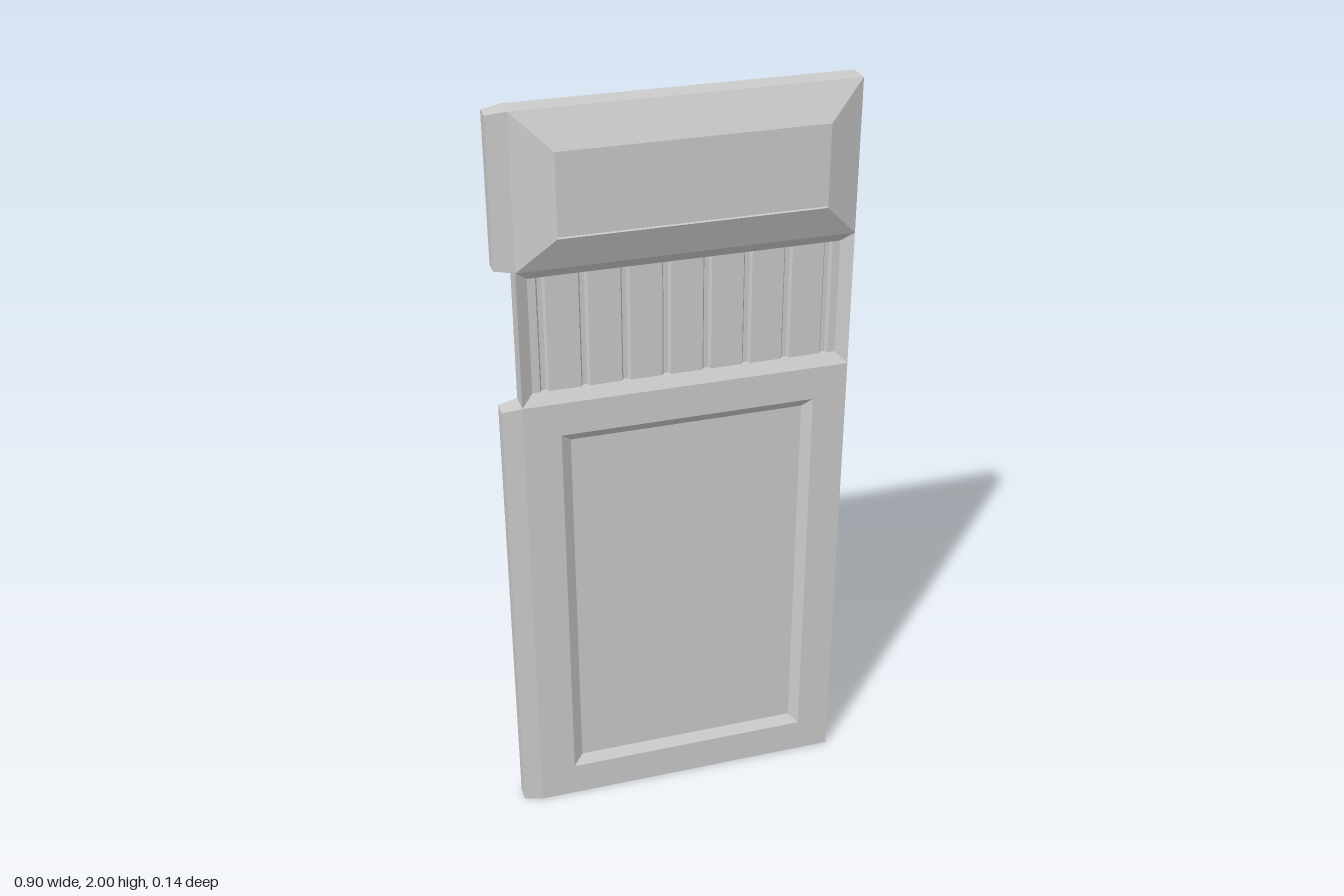
import * as THREE from 'three';

const X0 = -0.4, X1 = 0.45, Z = 0.03; // slab extents and half thickness
const LOW = 1.25, HIGH = 1.61, TOP = 2;

// Rectangle loop, counter-clockwise seen from +z
const rect = (x0, y0, x1, y1, z) => [[x0, y0, z], [x1, y0, z], [x1, y1, z], [x0, y1, z]];

// Quads joining two loops, from the outer one to the inner one
const ring = (a, b) => a.map((p, i) => {
  const j = (i + 1) % a.length;
  return [p, a[j], b[j], b[i]];
});

// Nested loops closed by a cap on the last one
function nested(loops) {
  const quads = [];
  for (let i = 0; i + 1 < loops.length; i++) quads.push(...ring(loops[i], loops[i + 1]));
  quads.push(loops[loops.length - 1]);
  return quads;
}

// The same quads on the opposite face
const bothFaces = (quads) => quads.concat(
  quads.map((q) => q.map(([x, y, z]) => [x, y, -z]).reverse()));

function mesh(name, quads, material) {
  const pos = [];
  for (const [a, b, c, d] of quads) pos.push(...a, ...b, ...c, ...a, ...c, ...d);
  const g = new THREE.BufferGeometry();
  g.setAttribute('position', new THREE.Float32BufferAttribute(pos, 3));
  g.computeVertexNormals();
  const m = new THREE.Mesh(g, material);
  m.name = name;
  return m;
}

// Recessed slats divided by narrow vertical grooves
function slats(x0, x1, y0, y1, z) {
  const quads = [];
  const strip = (xa, za, xb, zb) =>
    quads.push([[xa, y0, za], [xb, y0, zb], [xb, y1, zb], [xa, y1, za]]);
  const count = 8, pitch = 0.104, half = 0.011, slope = 0.005, floor = z - 0.009;
  let x = x0;
  for (let i = 0; i < count; i++) {
    const c = 0.025 + (i - (count - 1) / 2) * pitch;
    const a = c - half, b = c + half;
    strip(x, z, a, z);
    strip(a, z, a + slope, floor);
    strip(a + slope, floor, b - slope, floor);
    strip(b - slope, floor, b, z);
    // groove ends
    quads.push([[a, y0, z], [b, y0, z], [b - slope, y0, floor], [a + slope, y0, floor]]);
    quads.push([[b, y1, z], [a, y1, z], [a + slope, y1, floor], [b - slope, y1, floor]]);
    x = b;
  }
  strip(x, z, x1, z);
  return quads;
}

// Tapered lip along the -x edge
function lip(y0, y1, inset) {
  const xe = -0.45, ze = 0.022, a = y0 + inset[0], b = y1 - inset[1];
  const front = [[xe, a, ze], [X0, y0, Z], [X0, y1, Z], [xe, b, ze]];
  return [
    ...bothFaces([front]),
    [[xe, a, -ze], [xe, a, ze], [xe, b, ze], [xe, b, -ze]],
    [[xe, b, ze], [X0, y1, Z], [X0, y1, -Z], [xe, b, -ze]],
    [[xe, a, -ze], [X0, y0, -Z], [X0, y0, Z], [xe, a, ze]],
  ];
}

export function createModel() {
  const group = new THREE.Group();
  group.name = 'door';
  const material = new THREE.MeshStandardMaterial({ color: 0xcccccc, flatShading: true });
  const add = (name, quads) => group.add(mesh(name, quads, material));

  // Lower panel with a bevelled recess
  add('lowerPanel', bothFaces(nested([
    rect(X0, 0, X1, LOW, Z),
    rect(-0.305, 0.095, 0.36, 1.16, Z),
    rect(-0.278, 0.12, 0.335, 1.135, 0.012),
  ])));

  // Grille: bevelled surround and grooved slats
  const zg = 0.012;
  add('grilleSurround', bothFaces(ring(
    rect(X0, LOW, X1, HIGH, Z), rect(-0.37, 1.28, 0.42, 1.585, zg))));
  add('grilleSlats', bothFaces(slats(-0.37, 0.42, 1.28, 1.585, zg)));

  // Raised upper panel with a shallow sunk face
  add('upperPanel', bothFaces(nested([
    rect(X0, HIGH, X1, TOP, Z),
    rect(-0.305, 1.7, 0.36, 1.91, 0.07),
    rect(-0.305, 1.7, 0.36, 1.91, 0.06),
  ])));

  // Outer edges of the slab
  add('edges', [
    [[X1, 0, Z], [X1, 0, -Z], [X1, TOP, -Z], [X1, TOP, Z]],
    [[X0, TOP, Z], [X1, TOP, Z], [X1, TOP, -Z], [X0, TOP, -Z]],
    [[X0, 0, -Z], [X1, 0, -Z], [X1, 0, Z], [X0, 0, Z]],
    [[X0, LOW, -Z], [X0, LOW, Z], [X0, HIGH, Z], [X0, HIGH, -Z]],
  ]);

  // Side lips, interrupted at the grille
  add('lowerLip', lip(0, LOW, [0.007, 0.008]));
  add('upperLip', lip(HIGH, TOP, [0.008, 0.007]));
  return group;
}
